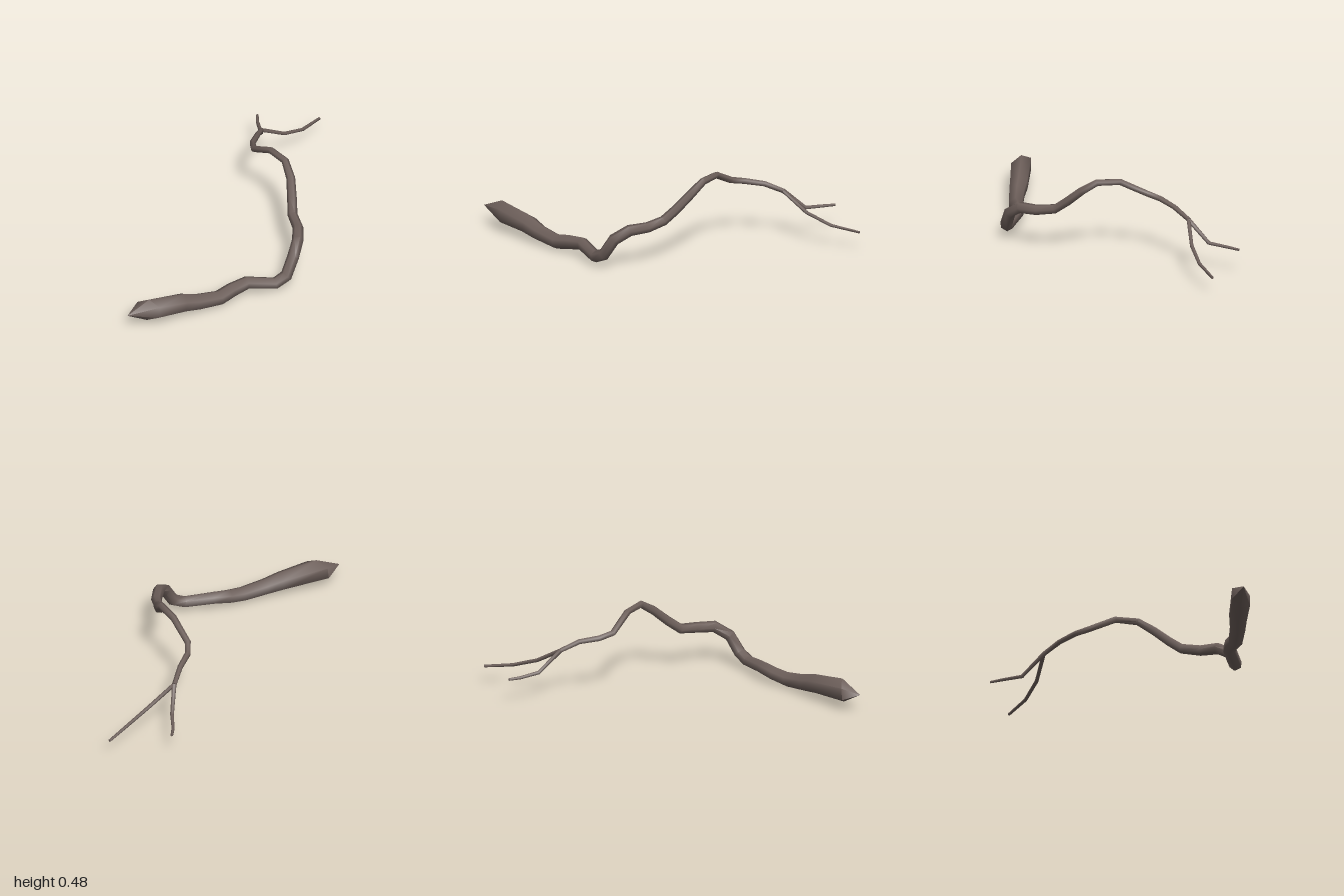
import * as THREE from 'three';
import { toCreasedNormals } from 'three/addons/utils/BufferGeometryUtils.js';

const SIDES = 6;

// Six-sided limb swept along rings of [x, y, z, radius, shear]; tips close to a point.
function limb(name, rings, material, startTip, endTip) {
  const centres = rings.map(([x, y, z]) => new THREE.Vector3(x, y, z));
  const last = rings.length - 1;
  const positions = [];
  const index = [];
  const u = new THREE.Vector3(0, 1, 0);

  rings.forEach(([, , , radius, shear = 0], i) => {
    // Tangent bisects the two neighbouring segments
    const t = new THREE.Vector3();
    if (i > 0) t.add(centres[i].clone().sub(centres[i - 1]).normalize());
    if (i < last) t.add(centres[i + 1].clone().sub(centres[i]).normalize());
    t.normalize();
    u.addScaledVector(t, -u.dot(t)).normalize();
    const v = new THREE.Vector3().crossVectors(t, u);
    for (let j = 0; j < SIDES; j++) {
      const a = (j / SIDES) * Math.PI * 2;
      const d = u.clone().multiplyScalar(Math.cos(a) * radius).addScaledVector(v, Math.sin(a) * radius);
      d.x += d.z * shear;
      positions.push(...d.add(centres[i]).toArray());
    }
  });

  for (let i = 0; i < last; i++) {
    for (let j = 0; j < SIDES; j++) {
      const k = (j + 1) % SIDES;
      const a = i * SIDES + j, b = i * SIDES + k;
      index.push(a, b, a + SIDES, b, b + SIDES, a + SIDES);
    }
  }

  // Closed ends
  const start = positions.length / 3;
  positions.push(...(startTip || centres[0].toArray()));
  positions.push(...(endTip || centres[last].toArray()));
  for (let j = 0; j < SIDES; j++) {
    const k = (j + 1) % SIDES;
    index.push(start, k, j, start + 1, last * SIDES + j, last * SIDES + k);
  }

  const geometry = new THREE.BufferGeometry();
  geometry.setAttribute('position', new THREE.Float32BufferAttribute(positions, 3));
  geometry.setIndex(index);
  const mesh = new THREE.Mesh(toCreasedNormals(geometry, 1.15), material);
  mesh.name = name;
  return mesh;
}

export function createModel() {
  const bark = new THREE.MeshStandardMaterial({ color: 0x6e605b });
  bark.name = 'bark';
  const model = new THREE.Group();
  model.name = 'driftwoodBranch';

  // Thick handle end, tapering along the crooked stem to the fork
  const fork = [0.515, 0.295, -0.387];
  model.add(limb('mainStem', [
    [-0.865, 0.11, 0.492, 0.07, 0.75],
    [-0.64, 0.087, 0.52, 0.058],
    [-0.55, 0.066, 0.537, 0.05],
    [-0.41, 0.048, 0.553, 0.045],
    [-0.32, 0.063, 0.547, 0.043],
    [-0.22, 0.079, 0.555, 0.039],
    [-0.07, 0.056, 0.625, 0.036],
    [0.0, 0.088, 0.635, 0.036],
    [0.06, 0.187, 0.617, 0.035],
    [0.13, 0.243, 0.56, 0.034],
    [0.192, 0.25, 0.47, 0.031],
    [0.225, 0.267, 0.365, 0.029],
    [0.265, 0.325, 0.3, 0.028],
    [0.31, 0.405, 0.22, 0.026],
    [0.332, 0.465, 0.13, 0.022],
    [0.323, 0.462, -0.005, 0.02],
    [0.31, 0.382, -0.16, 0.019],
    [0.35, 0.363, -0.235, 0.018],
    [0.438, 0.344, -0.31, 0.016],
    [...fork, 0.014],
  ], bark, [-1, 0.115, 0.48]));

  // Two thin twigs leaving the fork
  model.add(limb('backTwig', [
    [...fork, 0.014],
    [0.588, 0.175, -0.5, 0.012],
    [0.637, 0.165, -0.61, 0.01],
    [0.675, 0.163, -0.668, 0.008],
  ], bark));
  model.add(limb('sideTwig', [
    [...fork, 0.012],
    [0.68, 0.197, -0.395, 0.011],
    [0.83, 0.143, -0.43, 0.01],
    [0.99, 0.117, -0.495, 0.008],
  ], bark));

  return model;
}
